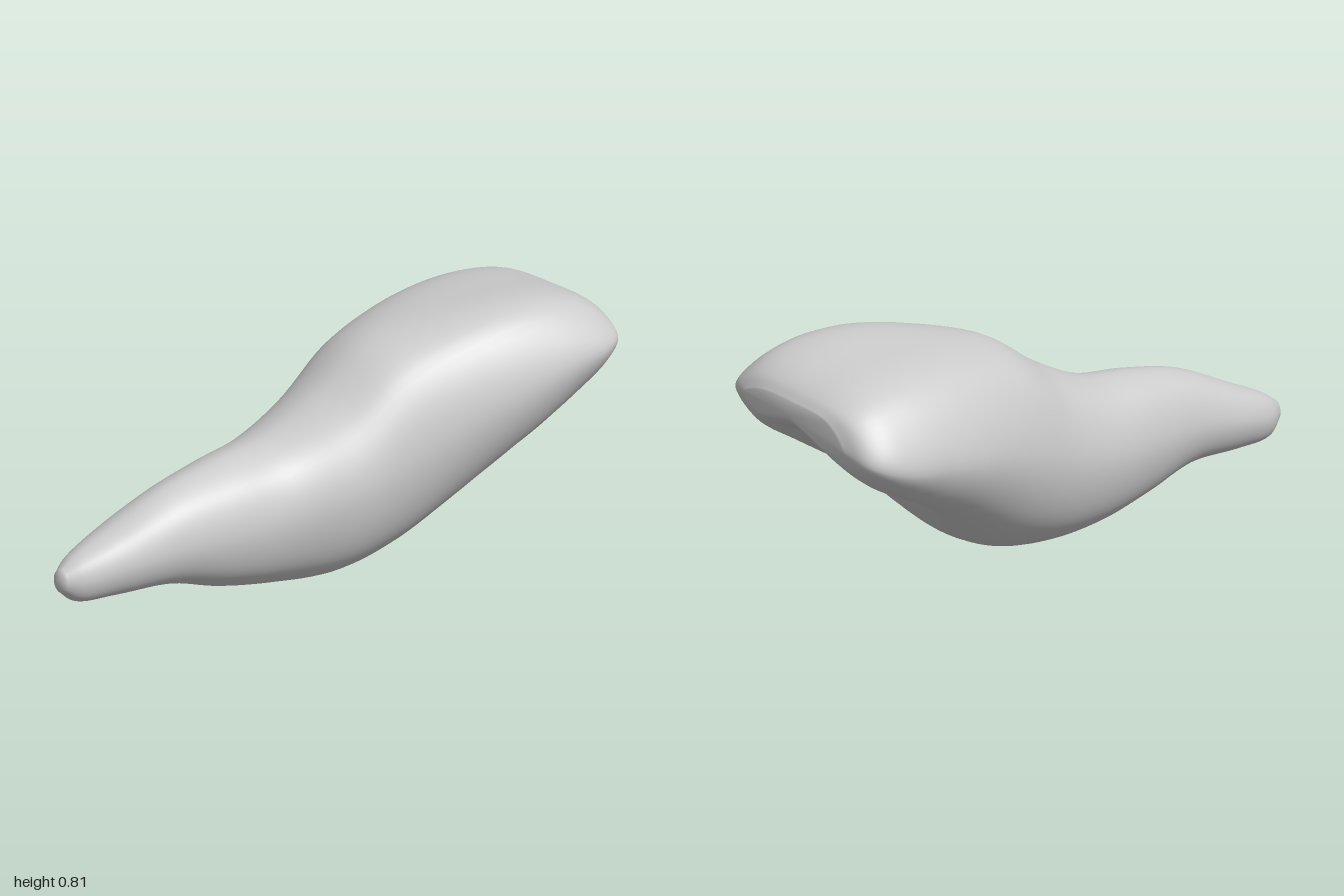
import * as THREE from 'three';

// Cross-sections from root tip to biting edge:
// z, xLeft, xRight, yTop, yBottom, ySideLeft, ySideRight, yLowLeft, yLowRight
const SECTIONS = [
  [0.985, -0.012, 0.050, 0.240, 0.170, 0.205, 0.205, 0.180, 0.180],
  [0.93, -0.050, 0.082, 0.278, 0.128, 0.205, 0.205, 0.150, 0.150],
  [0.80, -0.085, 0.125, 0.340, 0.120, 0.230, 0.230, 0.152, 0.152],
  [0.60, -0.105, 0.170, 0.430, 0.115, 0.260, 0.260, 0.157, 0.157],
  [0.40, -0.145, 0.200, 0.475, 0.055, 0.270, 0.270, 0.118, 0.118],
  [0.20, -0.190, 0.225, 0.505, 0.015, 0.280, 0.290, 0.092, 0.095],
  [0.00, -0.235, 0.285, 0.600, 0.003, 0.320, 0.340, 0.095, 0.100],
  [-0.20, -0.290, 0.310, 0.730, 0.035, 0.390, 0.420, 0.150, 0.150],
  [-0.40, -0.342, 0.345, 0.778, 0.130, 0.450, 0.510, 0.235, 0.250],
  [-0.55, -0.370, 0.368, 0.794, 0.260, 0.480, 0.560, 0.300, 0.330],
  [-0.68, -0.380, 0.378, 0.798, 0.430, 0.500, 0.600, 0.355, 0.400],
  [-0.80, -0.379, 0.378, 0.788, 0.535, 0.510, 0.630, 0.410, 0.470],
  [-0.90, -0.362, 0.364, 0.760, 0.585, 0.535, 0.645, 0.465, 0.530],
  [-0.96, -0.318, 0.328, 0.725, 0.600, 0.560, 0.655, 0.520, 0.580],
  [-0.99, -0.220, 0.250, 0.690, 0.625, 0.600, 0.660, 0.575, 0.615],
];
const RINGS = 96;
const SIDES = 64;

// Eight control points around one section, counter-clockwise from +x
function sectionPoints([z, xl, xr, top, bot, yl, yr, lowL, lowR]) {
  const c = (xl + xr) / 2, w = (xr - xl) / 2, k = 0.71;
  const crown = THREE.MathUtils.clamp(-z / 0.6, 0, 1);
  const upL = yl + (top - yl) * (0.72 + 0.04 * crown);
  const upR = yr + (top - yr) * (0.72 + 0.24 * crown);
  return [
    [xr, yr], [c + w * k, upR], [c, top], [c - w * k, upL],
    [xl, yl], [c - w * k, lowL], [c, bot], [c + w * k, lowR],
  ].map(([x, y]) => new THREE.Vector3(x, y, z));
}

function toothGeometry() {
  // Lengthwise curves through matching control points
  const rows = SECTIONS.map(sectionPoints);
  const tracks = rows[0].map((_, j) => new THREE.CatmullRomCurve3(rows.map((r) => r[j])));
  const positions = [], index = [];
  for (let i = 0; i <= RINGS; i++) {
    const ring = new THREE.CatmullRomCurve3(tracks.map((t) => t.getPoint(i / RINGS)), true);
    for (let j = 0; j < SIDES; j++) positions.push(...ring.getPoint(j / SIDES).toArray());
  }
  // Skin between neighbouring rings
  for (let i = 0; i < RINGS; i++) {
    for (let j = 0; j < SIDES; j++) {
      const n = (j + 1) % SIDES;
      const a = i * SIDES + j, b = i * SIDES + n, c = a + SIDES, d = b + SIDES;
      index.push(a, c, b, b, c, d);
    }
  }
  // Rounded ends
  const tip = positions.length / 3, edge = tip + 1, last = RINGS * SIDES;
  positions.push(0.02, 0.205, 1, 0.03, 0.65, -1);
  for (let j = 0; j < SIDES; j++) {
    const n = (j + 1) % SIDES;
    index.push(tip, j, n, edge, last + n, last + j);
  }
  const geometry = new THREE.BufferGeometry();
  geometry.setAttribute('position', new THREE.Float32BufferAttribute(positions, 3));
  geometry.setIndex(index);
  geometry.computeVertexNormals();
  return geometry;
}

export function createModel() {
  const model = new THREE.Group();
  model.name = 'incisorTooth';
  const enamel = new THREE.MeshStandardMaterial({ color: 0xcccccc });
  enamel.name = 'enamel grey';
  const tooth = new THREE.Mesh(toothGeometry(), enamel);
  tooth.name = 'crownAndRoot';
  model.add(tooth);
  return model;
}
